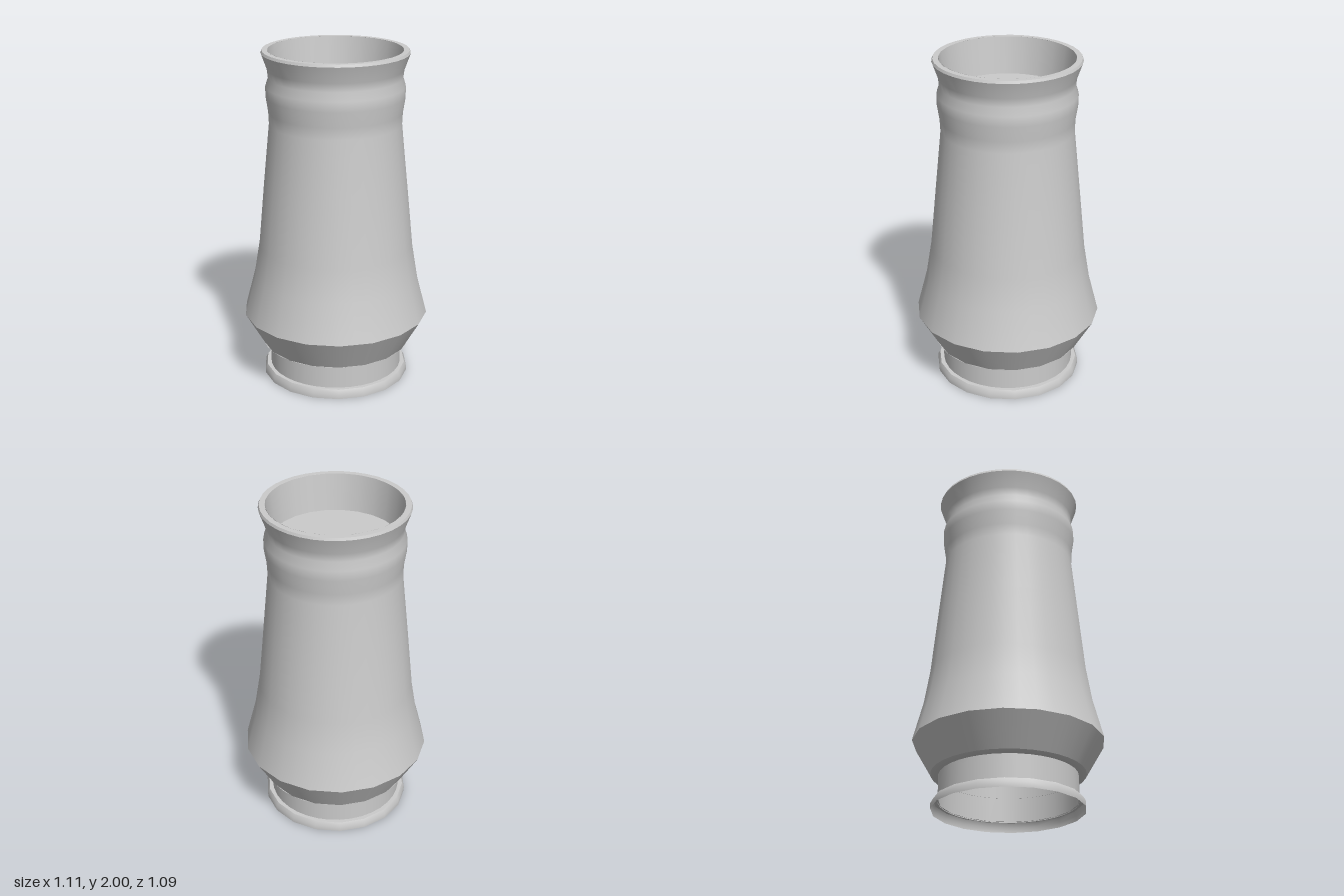
import * as THREE from 'three';

const SIDES = 36;

export function createModel() {
  const model = new THREE.Group();
  const grey = new THREE.MeshStandardMaterial({ color: 0xcccccc, side: THREE.DoubleSide });

  // Turned surface from [radius, y] pairs; the first vertex sits on +x.
  function turned(name, pairs, sides = SIDES) {
    const points = pairs.map(([r, y]) => new THREE.Vector2(r, y));
    const geometry = new THREE.LatheGeometry(points, sides, Math.PI / 2);
    const mesh = new THREE.Mesh(geometry, grey);
    mesh.name = name;
    model.add(mesh);
    return mesh;
  }

  // Flatten every second column so the wide lower part has 18 sides,
  // blending to a round section towards the mouth.
  function coarsenLower(mesh, rows) {
    const pos = mesh.geometry.attributes.position;
    for (let i = 0; i < pos.count; i++) {
      if (Math.floor(i / rows) % 2 === 0) continue;
      const t = THREE.MathUtils.smoothstep(pos.getY(i), 0.5, 1.6);
      const k = THREE.MathUtils.lerp(Math.cos(Math.PI / 18), 1, t);
      pos.setX(i, pos.getX(i) * k);
      pos.setZ(i, pos.getZ(i) * k);
    }
  }

  // Tapered body with a raised collar and flared mouth
  const bodyProfile = [
    [0.555, 0.4], [0.495, 0.63], [0.462, 0.83], [0.425, 1.2], [0.387, 1.57],
    [0.39, 1.64], [0.404, 1.73], [0.404, 1.79], [0.388, 1.84], [0.394, 1.89], [0.428, 1.985],
  ];
  coarsenLower(turned('body', bodyProfile), bodyProfile.length);

  // Chamfer under the widest edge, rolling into the underside
  const chamferProfile = [[0.445, 0.21], [0.555, 0.4]];
  coarsenLower(turned('lowerChamfer', chamferProfile), chamferProfile.length);
  turned('bodyUnderside', [[0.398, 0.2], [0.43, 0.202], [0.445, 0.21]]);

  // Mouth: bevelled lip, tapered inner wall and recessed floor
  turned('lipEdge', [[0.428, 1.985], [0.422, 2]]);
  turned('lip', [[0.422, 2], [0.39, 2]]);
  turned('mouthWall', [[0.39, 2], [0.364, 1.78]], 24);
  turned('mouthFloor', [[0.366, 1.78], [0, 1.78]], 24);

  // Hollow neck, closed off inside the body
  turned('neck', [[0.4, 0.05], [0.4, 0.3]]);
  turned('neckCeiling', [[0, 0.3], [0.4, 0.3]]);

  // Open foot flange
  turned('flangeTop', [[0.427, 0.055], [0.398, 0.055]], 18);
  turned('flangeSkirt', [[0.44, 0], [0.44, 0.03], [0.427, 0.055]], 18);

  return model;
}
